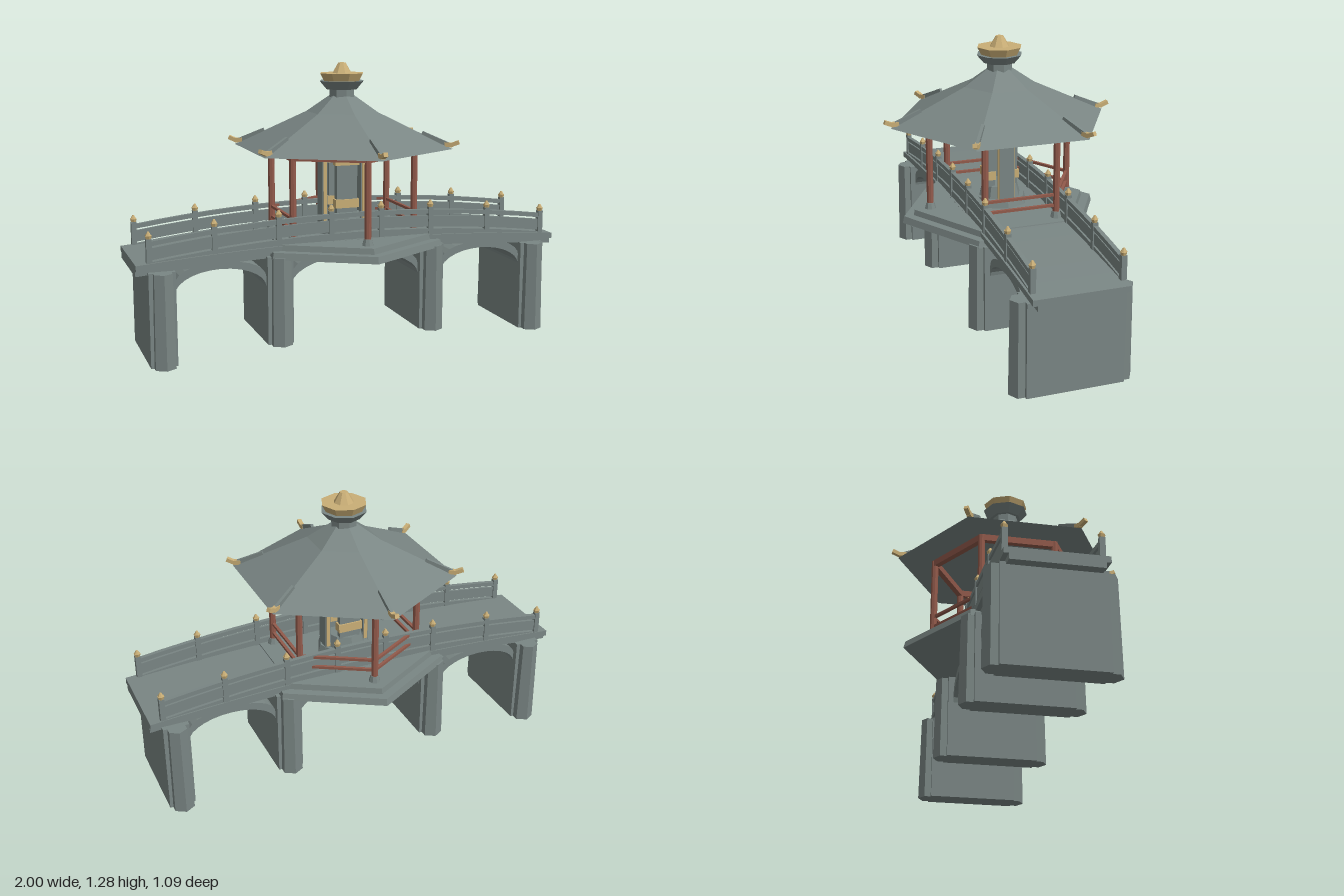
import * as THREE from 'three';

const mat = (name, color) => {
  const m = new THREE.MeshStandardMaterial({ color });
  m.name = name;
  return m;
};

export function createModel() {
  const stone = mat('grey stone', 0x7a8684);
  const gold = mat('pale gold', 0xc9ae76);
  const red = mat('red wood', 0x925a4b);
  const root = new THREE.Group();
  const V = (x, y, z) => new THREE.Vector3(x, y, z);

  const add = (name, geo, material, x = 0, y = 0, z = 0) => {
    const g = geo.index ? geo.toNonIndexed() : geo;
    g.computeVertexNormals();
    const mesh = new THREE.Mesh(g, material);
    mesh.name = name;
    mesh.position.set(x, y, z);
    root.add(mesh);
    return mesh;
  };
  const box = (name, m, w, h, d, x, y, z) => add(name, new THREE.BoxGeometry(w, h, d), m, x, y, z);
  // Prism standing from y0 to y1
  const prism = (name, m, rTop, rBot, y0, y1, sides, x = 0, z = 0) =>
    add(name, new THREE.CylinderGeometry(rTop, rBot, y1 - y0, sides), m, x, (y0 + y1) / 2, z);
  // Square bar between two points
  const bar = (name, m, a, b, w, h) => {
    const mesh = add(name, new THREE.BoxGeometry(w, h, a.distanceTo(b)), m);
    mesh.position.copy(a).add(b).multiplyScalar(0.5);
    mesh.lookAt(b);
    return mesh;
  };
  // Curved band between two height rules, extruded across z
  const band = (name, m, top, bottom, x0, x1, depth, z = 0, n = 16) => {
    const pts = [];
    for (let i = 0; i <= n; i++) {
      const x = x0 + (x1 - x0) * i / n;
      pts.push(new THREE.Vector2(x, bottom(x)));
    }
    for (let i = n; i >= 0; i--) {
      const x = x0 + (x1 - x0) * i / n;
      pts.push(new THREE.Vector2(x, top(x)));
    }
    const g = new THREE.ExtrudeGeometry(new THREE.Shape(pts), { depth, bevelEnabled: false });
    return add(name, g, m, 0, 0, z - depth / 2);
  };
  const hex = (r, k, y) => V(r * Math.sin(k * Math.PI / 3), y, r * Math.cos(k * Math.PI / 3));

  // Bridge deck, gently cambered
  const deck = x => 0.457 + 0.043 * (1 - x * x);
  band('deck', stone, deck, x => deck(x) - 0.027, -1, 1, 0.42);
  band('deckBeam', stone, x => deck(x) - 0.027, x => deck(x) - 0.052, -1, 1, 0.38);

  // Piers: a wall with a six-sided buttress at each end
  for (const [px, y0, y1] of [[0.89, 0, 0.42], [0.365, 0.05, 0.45]]) {
    for (const s of [-1, 1]) {
      box('pierWall', stone, 0.118, y1 - y0, 0.43, s * px, (y0 + y1) / 2, 0);
      for (const t of [-1, 1]) prism('pierButtress', stone, 0.046, 0.052, y0, y1, 6, s * px, t * 0.221);
    }
  }

  // Arched vaults between the piers
  for (const [cx, half, peak] of [[-0.628, 0.205, 0.41], [0, 0.307, 0.43], [0.628, 0.205, 0.41]]) {
    const outer = new THREE.Shape();
    const n = 14;
    const at = (i, grow) => {
      const a = Math.PI * i / n;
      return [cx - half * Math.cos(a), 0.31 + (peak - 0.31) * Math.sin(a) + grow];
    };
    for (let i = 0; i <= n; i++) outer[i ? 'lineTo' : 'moveTo'](...at(i, 0));
    for (let i = n; i >= 0; i--) outer.lineTo(...at(i, 0.025 + 0.02 * Math.abs(Math.cos(Math.PI * i / n))));
    add('vault', new THREE.ExtrudeGeometry(outer, { depth: 0.38, bevelEnabled: false }), stone, 0, 0, -0.19);
  }

  // Stone railings with gold-capped posts
  const rail = x => 0.547 + 0.075 * (1 - x * x);
  for (const z of [-0.196, 0.192]) {
    band('railingTop', stone, rail, x => rail(x) - 0.02, -0.94, 0.94, 0.02, z);
    band('railingPanel', stone, x => rail(x) - 0.03, x => rail(x) - 0.082, -0.94, 0.94, 0.012, z);
    band('railingFoot', stone, x => rail(x) - 0.09, x => deck(x) - 0.005, -0.94, 0.94, 0.016, z);
    for (const px of [-0.94, -0.655, -0.365, -0.12, 0.12, 0.365, 0.655, 0.94]) {
      const y = rail(px);
      box('railingPost', stone, 0.024, y + 0.012 - deck(px), 0.024, px, (y + 0.012 + deck(px)) / 2, z);
      prism('postCap', gold, 0.016, 0.012, y + 0.012, y + 0.026, 6, px, z);
      prism('postTip', gold, 0.004, 0.014, y + 0.026, y + 0.043, 6, px, z);
    }
  }

  // Hexagonal pavilion platform
  prism('platformLower', stone, 0.462, 0.47, 0.442, 0.473, 6);
  prism('platformUpper', stone, 0.412, 0.417, 0.473, 0.499, 6);

  // Columns, beams and handrails; the two front sides stay open
  const R = 0.337;
  for (let k = 0; k < 6; k++) {
    const c = hex(R, k, 0);
    prism('columnBase', stone, 0.019, 0.027, 0.497, 0.527, 8, c.x, c.z);
    prism('column', red, 0.016, 0.016, 0.525, 0.895, 8, c.x, c.z);
    bar('eaveBeam', red, hex(R, k, 0.881), hex(R, k + 1, 0.881), 0.026, 0.03);
    if (k > 0 && k < 5)
      for (const y of [0.555, 0.605]) bar('handrail', red, hex(R, k, y), hex(R, k + 1, y), 0.014, 0.012);
  }

  // Roof: shallow concave hexagonal tent, closed beneath
  const roofPts = [[0, 0.896], [0.512, 0.896], [0.167, 1.058], [0.055, 1.135], [0, 1.135]];
  add('roof', new THREE.LatheGeometry(roofPts.map(p => new THREE.Vector2(...p)), 6), stone);
  for (let k = 0; k < 6; k++) {
    bar('roofRib', stone, hex(0.37, k, 0.966), hex(0.49, k, 0.916), 0.014, 0.02);
    bar('eaveTip', gold, hex(0.475, k, 0.917), hex(0.51, k, 0.914), 0.02, 0.02);
    bar('eaveTipUpturn', gold, hex(0.505, k, 0.914), hex(0.54, k, 0.928), 0.02, 0.018);
  }

  // Crown above the roof
  prism('crownNeck', stone, 0.06, 0.06, 1.12, 1.168, 8);
  prism('crownBowl', stone, 0.107, 0.074, 1.162, 1.2, 8);
  prism('crownRim', gold, 0.105, 0.086, 1.2, 1.235, 8);
  prism('crownTip', gold, 0.018, 0.046, 1.235, 1.282, 8);

  // Shrine: stepped base and four upright slabs bound in gold
  prism('shrineStep', stone, 0.12, 0.13, 0.497, 0.535, 8);
  prism('shrineBase', stone, 0.085, 0.1, 0.535, 0.59, 8);
  for (const s of [-1, 1]) {
    box('shrineSlab', stone, 0.1, 0.29, 0.03, 0, 0.73, s * 0.055);
    for (const y of [0.64, 0.838]) box('shrineBand', gold, 0.115, 0.04, 0.04, 0, y, s * 0.057);
    box('shrineSide', stone, 0.026, 0.34, 0.07, s * 0.095, 0.7, 0);
    for (const t of [-1, 1]) box('shrineTrim', gold, 0.016, 0.33, 0.008, s * 0.095, 0.705, t * 0.036);
  }
  prism('shrineHead', stone, 0.09, 0.09, 0.868, 0.898, 8);

  return root;
}
